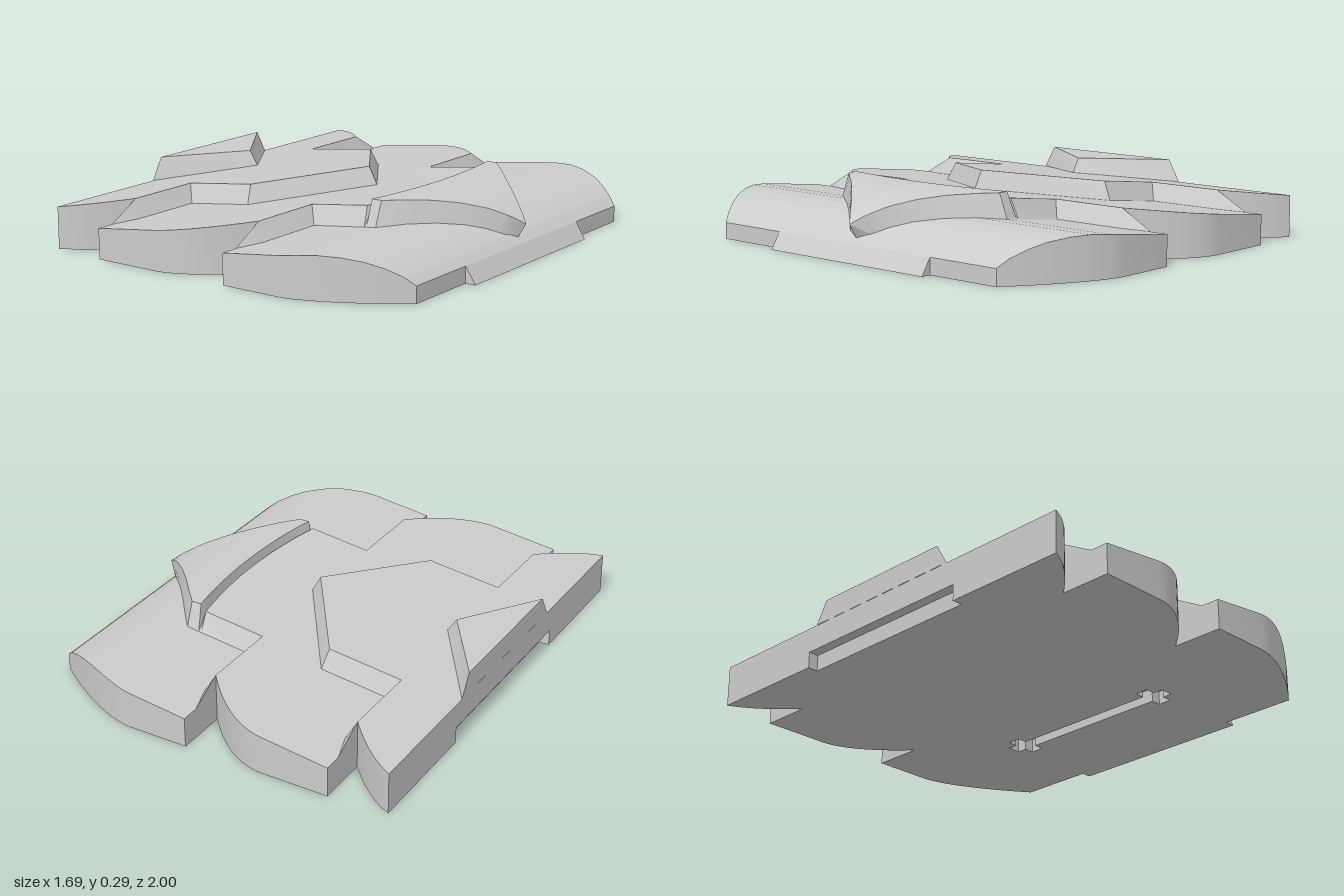
import * as THREE from 'three';
import { toCreasedNormals } from 'three/addons/utils/BufferGeometryUtils.js';

const STEP = 0.65;                 // spacing of the overlapping scales
const BACK = -0.845, SEAM = 0.055; // rear cut, and start of the front scale
const material = new THREE.MeshStandardMaterial({ color: 0xcccccc, side: THREE.DoubleSide });
const lerp = THREE.MathUtils.lerp;

// Straight-line lookup in a short profile of [x, value] points
function sample(profile, x) {
  for (let i = 1; i < profile.length; i++) {
    const [x0, v0] = profile[i - 1], [x1, v1] = profile[i];
    if (x <= x1) return lerp(v0, v1, Math.max(0, (x - x0) / (x1 - x0)));
  }
  return profile[profile.length - 1][1];
}

const frontProfile = [[0.055, 0.13], [0.4, 0.172], [0.48, 0.178], [0.56, 0.174], [0.64, 0.159],
  [0.7, 0.137], [0.76, 0.105], [0.8, 0.07], [0.845, 0]];
const frontTop = (x) => sample(frontProfile, x);
const slope = (x, s) => 0.13 + 0.08 * (x - s) / STEP;
const lobeWidth = (x, s) => 1 - 0.225 * Math.pow(Math.max(0, (x - s - 0.3) / 0.35), 1.8);
const frontWidth = (x) => 1 - 0.23 * Math.pow(Math.max(0, (x - 0.33) / 0.47), 1.5);
const range = (a, b, n) => Array.from({ length: n + 1 }, (_, i) => lerp(a, b, i / n));

function mesh(name, geometry) {
  const m = new THREE.Mesh(geometry, material);
  m.name = name;
  return m;
}

function quads(name, list) {
  const pos = [];
  for (const [a, b, c, d] of list) pos.push(...a, ...b, ...c, ...a, ...c, ...d);
  const g = new THREE.BufferGeometry();
  g.setAttribute('position', new THREE.Float32BufferAttribute(pos, 3));
  return mesh(name, toCreasedNormals(g, 0.5));
}

// Rows run along +x, the points in a row along +z
function gridQuads(rows) {
  const list = [];
  for (let i = 0; i + 1 < rows.length; i++)
    for (let j = 0; j + 1 < rows[i].length; j++)
      list.push([rows[i][j], rows[i][j + 1], rows[i + 1][j + 1], rows[i + 1][j]]);
  return list;
}

// Cross-sections with a top edge (x, y, w) and a base edge (xb, yb, wb)
function ribbon(name, sections, rear = true, front = true) {
  const rows = sections.map(([x, y, w, xb, yb, wb]) =>
    [[xb, yb, -wb], [x, y, -w], [x, y, w], [xb, yb, wb]]);
  const list = gridQuads(rows);
  if (rear) list.push([...rows[0]].reverse());
  if (front) list.push(rows[rows.length - 1]);
  return quads(name, list);
}

function flat(name, shape, y) {
  const g = new THREE.ShapeGeometry(shape);
  g.rotateX(Math.PI / 2);
  g.translate(0, y, 0);
  return mesh(name, g);
}

export function createModel() {
  const group = new THREE.Group();
  const add = (...parts) => group.add(...parts);

  // Side lobes: each sheet rises towards the front and narrows at its end
  const lobes = [[SEAM - 2 * STEP, BACK, 'rearLobe'], [SEAM - STEP, SEAM - STEP, 'middleLobe']];
  for (const [s, start, name] of lobes) {
    const xs = [start, ...range(Math.max(start, s + 0.3), s + STEP, 14)];
    add(ribbon(name, xs.map((x) => {
      const w = lobeWidth(x, s);
      return [x, slope(x, s), w, x, 0, w];
    }), start !== BACK));
    // Sloped step down to the next sheet
    const e = s + STEP;
    add(ribbon(name + 'Step', [
      [e, 0.21, 0.775, e, 0.13, 0.92],
      [e, 0.21, 0.775, e + 0.04, 0.135, 0.8]]));
  }

  // Front lobe, rolling down to the leading edge
  const frontXs = [SEAM, 0.33, ...range(0.36, 0.8, 22)];
  add(ribbon('frontLobe', frontXs.map((x) =>
    [x, frontTop(x), frontWidth(x), x, 0, frontWidth(x)])));
  add(ribbon('frontTongue', [[0.8, 0.07, 0.43, 0.8, 0, 0.43], [0.845, 0, 0.43, 0.845, 0, 0.43]]));

  // Raised arrow plates down the middle
  add(ribbon('rearArrow', [
    [BACK, 0.275, 0.335, BACK, 0.18, 0.39],
    [-0.615, 0.275, 0, -0.575, 0.213, 0]]));
  add(ribbon('middleArrow', [
    [-0.595, 0.21, 0.43, -0.595, 0.13, 0.47],
    [-0.265, 0.25, 0.43, -0.25, 0.172, 0.47],
    [0.035, 0.288, 0, 0.075, 0.213, 0]]));

  // Front plate with the curved groove behind the cap
  const zs = range(-0.43, 0.43, 16);
  const bow = (z) => 0.044 * (1 - (z / 0.43) ** 2);
  const plate = [[SEAM, 0.21, 0], [0.333, 0.245, 1], [0.345, 0.21, 1], [0.356, 0.275, 0.9], [0.401, 0.2745, 0]];
  add(quads('groovedPlate', gridQuads(plate.map(([x, y, b]) => [
    [x, frontTop(x), -0.47],
    ...zs.map((z) => [x + b * bow(z), y, z]),
    [x, frontTop(x), 0.47]]))));

  // Pointed cap curving down to its tip
  const widths = [[0.401, 0.43], [0.46, 0.365], [0.54, 0.272], [0.62, 0.185], [0.7, 0.105], [0.77, 0.04]];
  const heights = [[0.401, 0.2745], [0.46, 0.272], [0.54, 0.264], [0.62, 0.247], [0.7, 0.22], [0.77, 0.182]];
  const cap = range(0.401, 0.77, 18).map((x) => {
    const t = (x - 0.401) / 0.369, xb = x - 0.02 * t * t, w = sample(widths, x);
    return [x, sample(heights, x), w, xb, frontTop(xb), w + 0.04 - 0.02 * t];
  });
  cap.push([0.812, 0.15, 0, 0.775, 0.09, 0]);
  add(ribbon('pointedCap', cap, false));

  // Rear face with the notch that takes a tongue
  const notchX = BACK + 0.045, nz = 0.43, nh = 0.07;
  const rw = lobeWidth(BACK, SEAM - 2 * STEP), rh = slope(BACK, SEAM - 2 * STEP);
  const rearQuad = (x, y0, y1, z0, z1) => [[x, y0, z0], [x, y0, z1], [x, y1, z1], [x, y1, z0]];
  const list = [rearQuad(BACK, nh, rh, -rw, rw), rearQuad(BACK, 0, nh, -rw, -nz),
    rearQuad(BACK, 0, nh, nz, rw), rearQuad(notchX, 0, nh, -nz, nz),
    [[BACK, nh, -nz], [notchX, nh, -nz], [notchX, nh, nz], [BACK, nh, nz]]];
  for (const k of [-1, 1]) {
    const side = [[BACK, 0, k * nz], [BACK, nh, k * nz], [notchX, nh, k * nz], [notchX, 0, k * nz]];
    list.push(k > 0 ? side : side.reverse());
  }
  add(quads('rearFace', list));

  // Underside outline: the +z half, then its mirror
  const half = [[notchX, 0], [notchX, nz], [BACK, nz]];
  for (const x of range(BACK, SEAM - STEP, 10)) half.push([x, lobeWidth(x, SEAM - 2 * STEP)]);
  half.push([SEAM - STEP, 1]);
  for (const x of range(SEAM - STEP + 0.3, SEAM, 12)) half.push([x, lobeWidth(x, SEAM - STEP)]);
  half.push([SEAM, 1]);
  for (const x of range(0.33, 0.8, 14)) half.push([x, frontWidth(x)]);
  half.push([0.8, nz], [0.845, nz]);
  const toV = ([x, z]) => new THREE.Vector2(x, z);
  const mirrored = half.slice(1).reverse().map(([x, z]) => [x, -z]);
  const underside = new THREE.Shape([...half, ...mirrored].map(toV));

  // Slot with a cross at each end, sunk into the underside
  const a = 0.03, b = 0.075, cx = 0.37, cz = 0.38;
  const quarter = [[a, 0], [a, cz - a], [b, cz - a], [b, cz + a], [a, cz + a], [a, cz + b]];
  const right = [...quarter.slice(1), ...quarter.slice(1).reverse().map(([x, z]) => [-x, z])];
  const slot = [...right, ...right.map(([x, z]) => [-x, -z])].map(([x, z]) => [cx + x, z]);
  underside.holes.push(new THREE.Path(slot.map(toV)));
  add(flat('underside', underside, 0));
  add(flat('slotCeiling', new THREE.Shape(slot.map(toV)), 0.06));
  add(quads('slotWalls', slot.map(([x, z], i) => {
    const [x2, z2] = slot[(i + 1) % slot.length];
    return [[x, 0, z], [x, 0.06, z], [x2, 0.06, z2], [x2, 0, z2]];
  })));
  return group;
}
